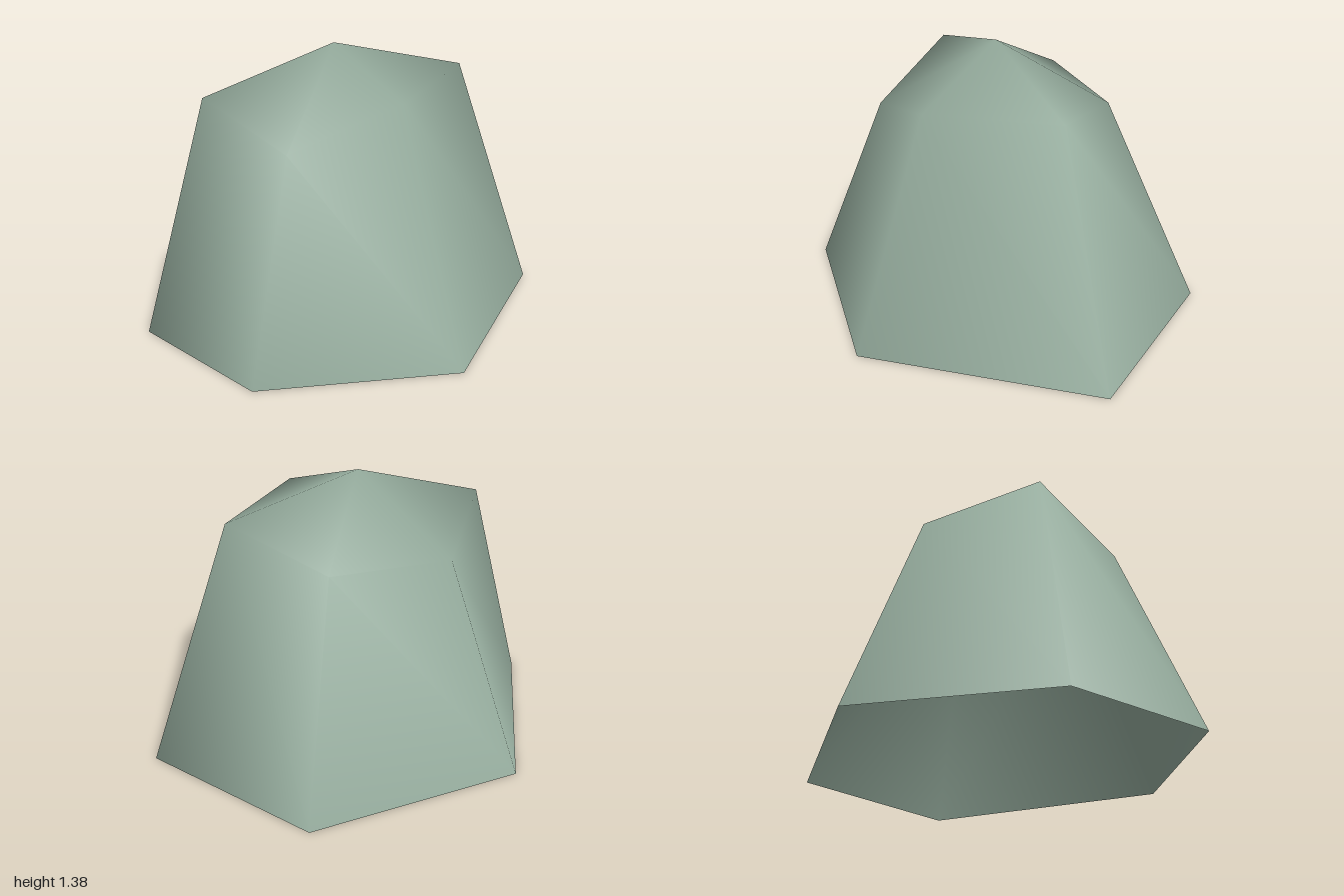
import * as THREE from 'three';

// Ring corners, counter-clockwise seen from above
const base = [
  [-0.29, 0, 1.0], [0.53, 0, 0.92], [0.96, 0, 0.06],
  [0.30, 0, -1.0], [-0.62, 0, -0.75], [-0.96, 0, 0.29],
];
const shoulder = [
  [-0.20, 1.15, 0.70], [0.33, 0.97, 0.585], [0.50, 1.16, 0.05],
  [0.19, 1.225, -0.57], [-0.32, 1.09, -0.37], [-0.53, 1.06, 0.20],
];
const peak = [0, 1.375, 0.08];

export function createModel() {
  const group = new THREE.Group();
  group.name = 'boulder';

  const stone = new THREE.MeshStandardMaterial({ color: 0x97ae9f, side: THREE.DoubleSide });
  stone.name = 'grey green stone';

  // Steep walls between the rings, and a fan up to the peak; open underneath
  const n = base.length;
  const index = [];
  for (let i = 0; i < n; i++) {
    const j = (i + 1) % n;
    index.push(i, j, n + i, j, n + j, n + i, n + i, n + j, 2 * n);
  }

  // Shared corners give smooth normals
  const geometry = new THREE.BufferGeometry();
  geometry.setAttribute('position',
    new THREE.Float32BufferAttribute([...base, ...shoulder, peak].flat(), 3));
  geometry.setIndex(index);
  geometry.computeVertexNormals();

  const rock = new THREE.Mesh(geometry, stone);
  rock.name = 'rock';
  group.add(rock);
  return group;
}
